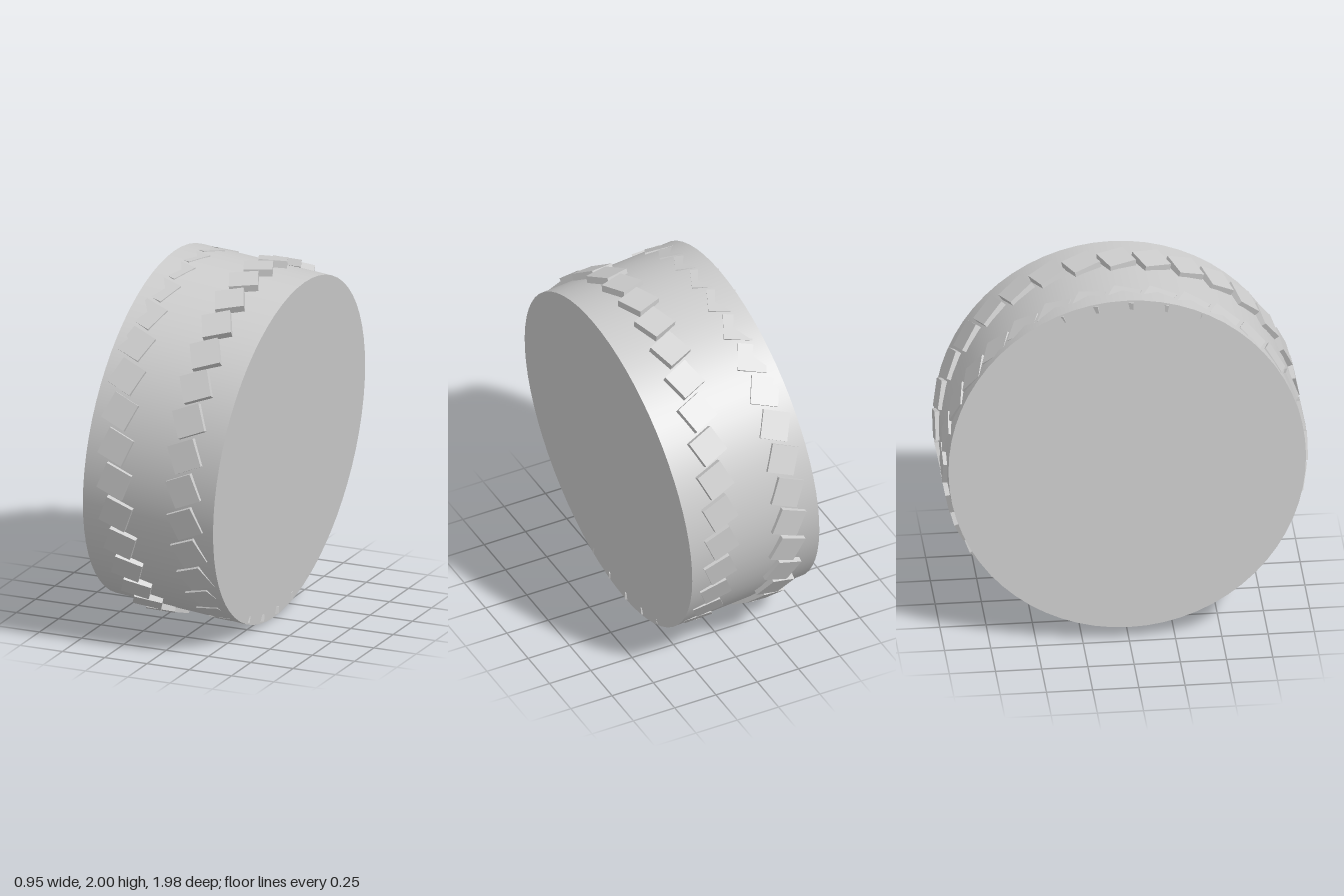
import * as THREE from 'three';

export function createModel() {
  const group = new THREE.Group();
  const grey = new THREE.MeshStandardMaterial({ color: 0xcccccc });
  grey.name = 'grey';
  const radius = 0.967;

  // Solid wheel body, its axle leaning slightly down toward +x
  const body = new THREE.Mesh(new THREE.CylinderGeometry(radius, radius, 0.773, 64), grey);
  body.name = 'wheelBody';
  body.rotation.z = -Math.PI / 2 - 0.095;
  body.position.y = 1;
  group.add(body);

  // Two upright rings of tread blocks, angled as mirror images
  const count = 32;
  for (const side of [1, -1]) {
    const ring = new THREE.Group();
    ring.name = side > 0 ? 'leftTreadRing' : 'rightTreadRing';
    ring.position.set(side * 0.203, 1, 0);
    const block = new THREE.BoxGeometry(0.157, 0.157, 0.039);
    block.rotateZ(side * 0.4);
    block.translate(0, 0, radius);
    for (let i = 0; i < count; i++) {
      const tread = new THREE.Mesh(block, grey);
      tread.name = 'treadBlock';
      tread.rotation.x = (i / count) * Math.PI * 2;
      ring.add(tread);
    }
    group.add(ring);
  }
  return group;
}
